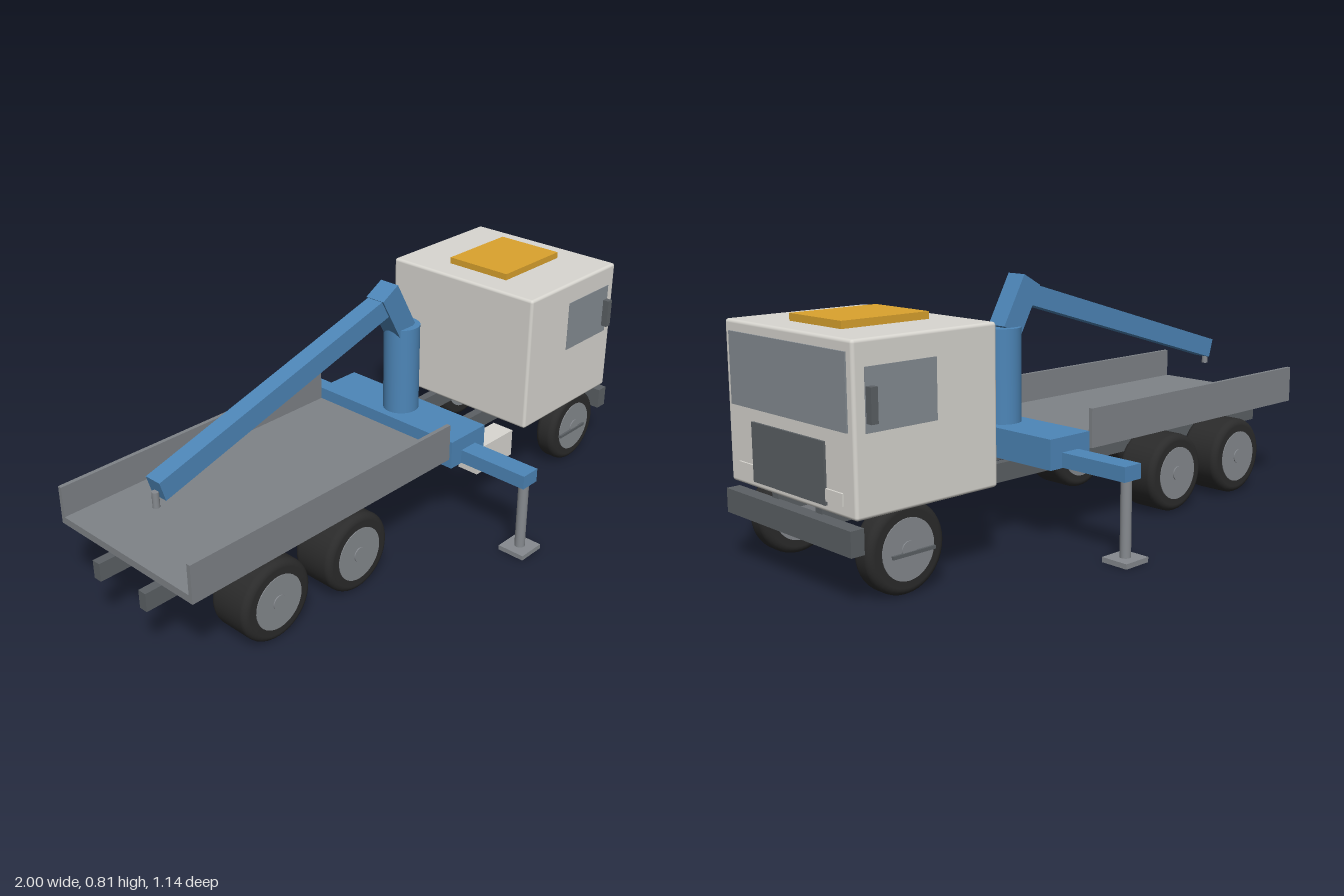
import * as THREE from 'three';
import { RoundedBoxGeometry } from 'three/addons/geometries/RoundedBoxGeometry.js';

const mat = (name, color) => {
  const m = new THREE.MeshStandardMaterial({ color });
  m.name = name;
  return m;
};

export function createModel() {
  const cabPaint = mat('cab paint', 0xd9d7d1);
  const blue = mat('crane blue', 0x4d86b8);
  const bedGrey = mat('bed grey', 0x7f8388);
  const frameGrey = mat('frame grey', 0x5c6165);
  const rubber = mat('tyre rubber', 0x2b2b2b);
  const rimGrey = mat('rim grey', 0x868a8f);
  const glass = mat('glass', 0x868d94);
  const yellow = mat('hatch yellow', 0xdba32e);

  const model = new THREE.Group();
  const add = (name, geo, material, x = 0, y = 0, z = 0, parent = model) => {
    const m = new THREE.Mesh(geo, material);
    m.name = name;
    m.position.set(x, y, z);
    parent.add(m);
    return m;
  };
  // box given by its min and max on each axis
  const box = (name, material, [x0, x1], [y0, y1], [z0, z1], parent = model) =>
    add(name, new THREE.BoxGeometry(x1 - x0, y1 - y0, z1 - z0), material,
      (x0 + x1) / 2, (y0 + y1) / 2, (z0 + z1) / 2, parent);
  // the same z range on the left or right side
  const side = (s, a, b) => (s > 0 ? [a, b] : [-b, -a]);
  // square beam between two points in the xy plane
  const beam = (name, material, [x0, y0], [x1, y1], height, depth, parent) => {
    const geo = new THREE.BoxGeometry(Math.hypot(x1 - x0, y1 - y0), height, depth);
    const m = add(name, geo, material, (x0 + x1) / 2, (y0 + y1) / 2, 0, parent);
    m.rotation.z = Math.atan2(y1 - y0, x1 - x0);
    return m;
  };
  const group = (name) => {
    const g = new THREE.Group();
    g.name = name;
    model.add(g);
    return g;
  };

  // chassis
  const chassis = group('chassis');
  for (const s of [1, -1]) box('frameRail', frameGrey, [-1, 0.96], [0.19, 0.25], side(s, 0.09, 0.12), chassis);
  for (const x of [-0.87, -0.46, -0.03, 0.39, 0.81])
    box('crossMember', frameGrey, [x - 0.012, x + 0.012], [0.2, 0.236], [-0.09, 0.09], chassis);
  box('bumper', frameGrey, [0.955, 0.998], [0.153, 0.225], [-0.3, 0.3], chassis);
  box('toolbox', cabPaint, [0.265, 0.455], [0.15, 0.245], [0.195, 0.275], chassis);

  // cab
  const cab = group('cab');
  add('cabBody', new RoundedBoxGeometry(0.492, 0.472, 0.602, 3, 0.01), cabPaint, 0.732, 0.481, 0, cab);
  box('windshield', glass, [0.976, 0.983], [0.475, 0.685], [-0.275, 0.275], cab);
  box('grille', frameGrey, [0.976, 0.985], [0.265, 0.438], [-0.173, 0.173], cab);
  box('roofHatch', yellow, [0.58, 0.88], [0.715, 0.739], [-0.122, 0.122], cab);
  for (const s of [1, -1]) {
    box('headlight', cabPaint, [0.976, 0.984], [0.277, 0.312], side(s, 0.173, 0.248), cab);
    box('sideWindow', glass, [0.705, 0.942], [0.472, 0.645], side(s, 0.298, 0.303), cab);
    box('mirror', frameGrey, [0.918, 0.94], [0.498, 0.595], side(s, 0.3, 0.325), cab);
    box('step', frameGrey, [0.72, 0.865], [0.117, 0.127], side(s, 0.285, 0.303), cab);
  }

  // flat bed with two side boards
  const bed = group('bed');
  box('bedFloor', bedGrey, [-0.975, 0.088], [0.289, 0.313], [-0.295, 0.295], bed);
  for (const s of [1, -1]) box('sideBoard', bedGrey, [-0.975, 0.088], [0.313, 0.413], side(s, 0.281, 0.295), bed);

  // wheels: rounded tyre, rim and hub
  const R = 0.131;
  const makeWheel = (x, z, width) => {
    const wheel = group('wheel');
    wheel.position.set(x, 0.133, z);
    wheel.rotation.x = Math.PI / 2;
    const h = width / 2, r = 0.022, pts = [new THREE.Vector2(0, -h)];
    for (const [cy, a0] of [[-h + r, -Math.PI / 2], [h - r, 0]])
      for (let i = 0; i <= 5; i++) {
        const a = a0 + (i / 5) * Math.PI / 2;
        pts.push(new THREE.Vector2(R - r + r * Math.cos(a), cy + r * Math.sin(a)));
      }
    pts.push(new THREE.Vector2(0, h));
    add('tyre', new THREE.LatheGeometry(pts, 40), rubber, 0, 0, 0, wheel);
    add('rim', new THREE.CylinderGeometry(0.088, 0.088, width + 0.005, 36), rimGrey, 0, 0, 0, wheel);
    add('hub', new THREE.CylinderGeometry(0.024, 0.024, width + 0.012, 24), rimGrey, 0, 0, 0, wheel);
  };
  for (const s of [1, -1]) {
    makeWheel(0.807, s * 0.255, 0.076);
    for (const x of [-0.667, -0.332]) makeWheel(x, s * 0.218, 0.15);
  }

  // crane
  const crane = group('crane');
  box('craneBase', blue, [0.1, 0.268], [0.25, 0.345], [-0.295, 0.295], crane);
  add('craneColumn', new THREE.CylinderGeometry(0.06, 0.06, 0.3, 32), blue, 0.186, 0.495, 0, crane);
  beam('elbowArm', blue, [0.175, 0.632], [0.088, 0.788], 0.079, 0.072, crane);
  beam('boom', blue, [0.09, 0.743], [-0.846, 0.469], 0.066, 0.06, crane);
  add('hook', new THREE.CylinderGeometry(0.011, 0.011, 0.05, 16), rimGrey, -0.85, 0.436, 0, crane);

  // outriggers
  for (const s of [1, -1]) {
    box('outriggerBeam', blue, [0.15, 0.22], [0.252, 0.298], side(s, 0.29, 0.545), crane);
    add('outriggerLeg', new THREE.CylinderGeometry(0.017, 0.017, 0.24, 20), rimGrey, 0.186, 0.135, s * 0.521, crane);
    box('outriggerFoot', rimGrey, [0.138, 0.234], [0.002, 0.018], side(s, 0.473, 0.568), crane);
  }

  return model;
}
